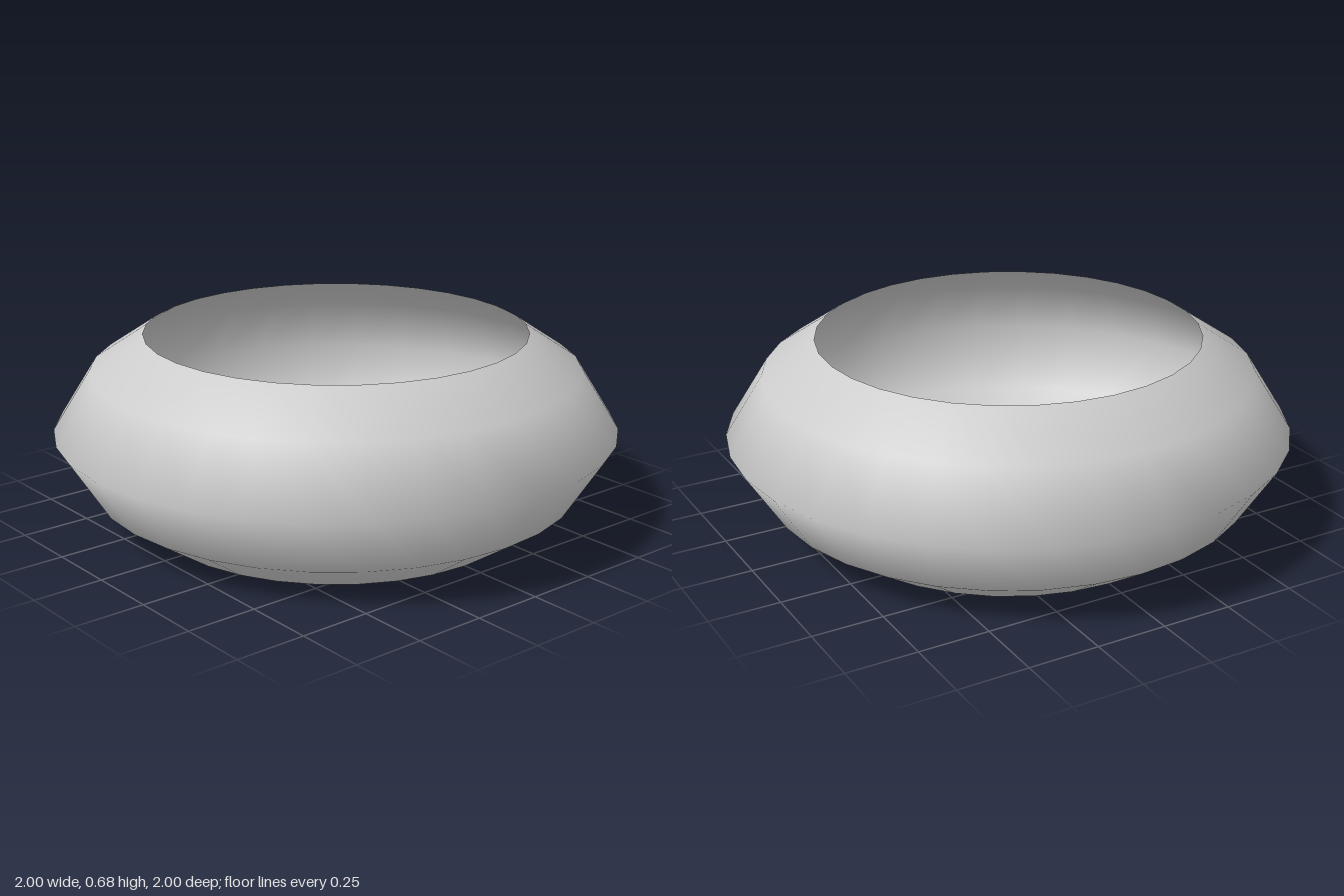
import * as THREE from 'three';

export function createModel() {
  const model = new THREE.Group();

  // Open bulging band: half profile, mirrored about mid height
  const midHeight = 0.34;
  const lower = [[0.677, 0], [0.865, 0.125]];
  const upper = lower.map(([r, y]) => [r, 2 * midHeight - y]).reverse();
  const profile = [...lower, [1, midHeight], ...upper].map(([r, y]) => new THREE.Vector2(r, y));

  const ring = new THREE.Mesh(
    new THREE.LatheGeometry(profile, 32),
    new THREE.MeshStandardMaterial({ color: 0xcccccc, side: THREE.DoubleSide })
  );
  ring.name = 'ringBand';
  model.add(ring);

  return model;
}
